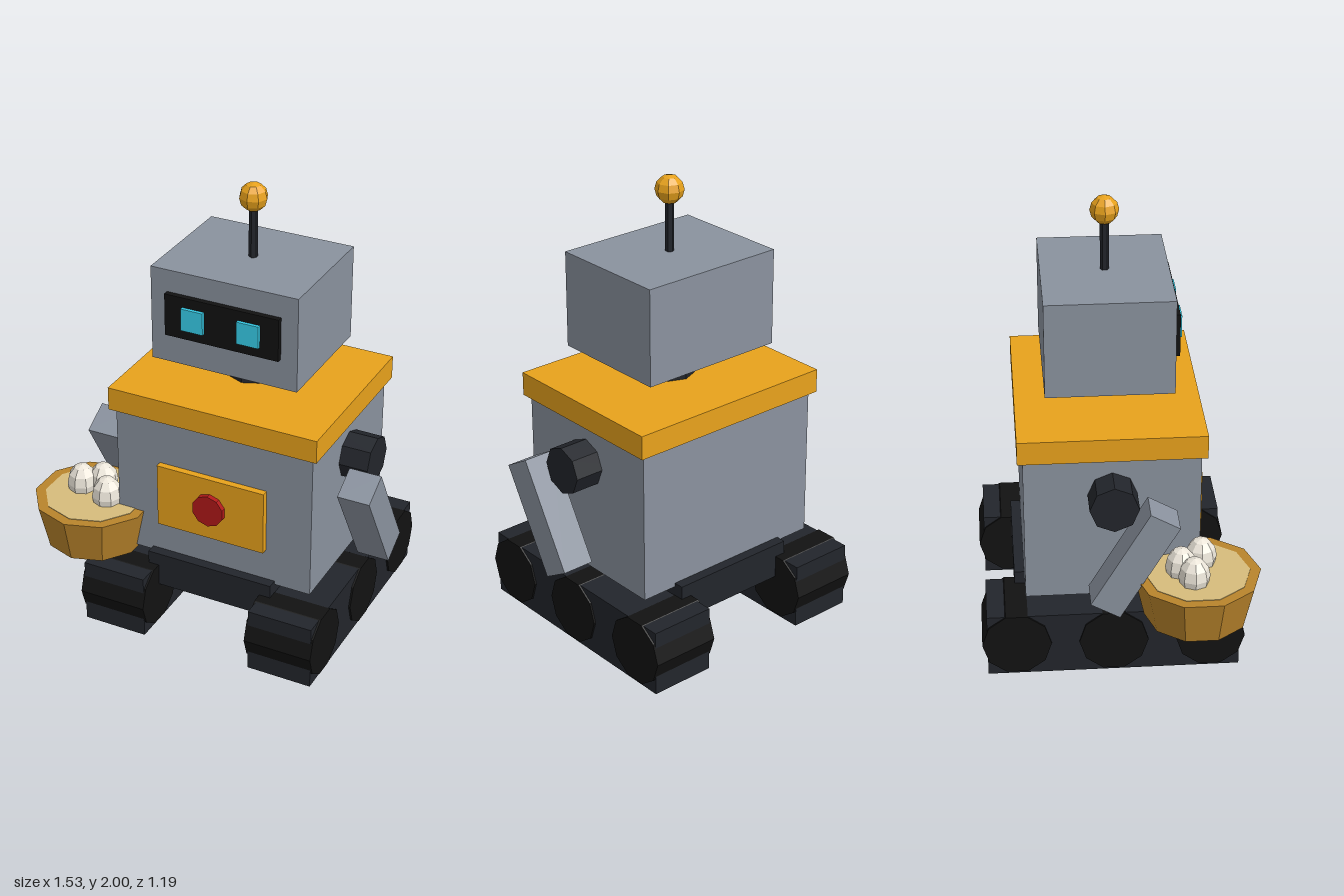
import * as THREE from 'three';

const CX = 0.09, CZ = -0.025; // robot's own centre line

const paint = (color) => new THREE.MeshStandardMaterial({ color, flatShading: true });
const steel = paint(0x8a929e), dark = paint(0x22252b), black = paint(0x121212);
const amber = paint(0xe8a21c), red = paint(0xb01818), cyan = paint(0x38d0ec);
const wicker = paint(0xb9842b), straw = paint(0xd6bc7c), shell = paint(0xece6da);

export function createModel() {
  const model = new THREE.Group();

  const add = (name, geometry, material, x, y, z, parent = model) => {
    const mesh = new THREE.Mesh(geometry, material);
    mesh.name = name;
    mesh.position.set(x, y, z);
    parent.add(mesh);
    return mesh;
  };
  const box = (name, material, w, h, d, x, y, z, parent) =>
    add(name, new THREE.BoxGeometry(w, h, d), material, x, y, z, parent);
  const cyl = (r, h, sides) => new THREE.CylinderGeometry(r, r, h, sides);

  // Torso
  box('chassis', dark, 0.59, 0.16, 0.84, CX, 0.277, CZ);
  box('torso', steel, 0.92, 0.68, 0.75, CX, 0.68, CZ);
  box('collar', amber, 0.97, 0.105, 0.796, CX, 1.067, CZ);
  box('chestPanel', amber, 0.505, 0.295, 0.04, CX, 0.653, 0.36);
  add('chestButton', cyl(0.074, 0.04, 10).rotateX(Math.PI / 2), red, CX, 0.655, 0.383);

  // Head
  add('neck', cyl(0.105, 0.16, 8), dark, CX, 1.18, CZ);
  box('head', steel, 0.67, 0.425, 0.545, CX, 1.457, CZ);
  box('visor', black, 0.52, 0.19, 0.04, CX, 1.475, 0.252);
  for (const s of [-1, 1]) box('eye', cyan, 0.1, 0.1, 0.03, CX + s * 0.127, 1.476, 0.272);
  add('antenna', cyl(0.019, 0.26, 6), dark, CX, 1.78, CZ);
  add('antennaBall', new THREE.SphereGeometry(0.062, 8, 6), amber, CX, 1.938, CZ);

  for (const s of [-1, 1]) {
    const side = s > 0 ? 'left' : 'right';

    // Arms
    add(side + 'Shoulder', cyl(0.105, 0.2, 8).rotateZ(Math.PI / 2), dark, CX + s * 0.49, 0.842, CZ);
    const arm = box(side + 'Arm', steel, 0.145, 0.5, 0.143, CX + s * 0.598, 0.61, 0.055);
    arm.rotation.x = Math.PI / 6;

    // Tracks with three wheels each
    const track = new THREE.Group();
    track.name = side + 'Track';
    track.position.set(CX + s * 0.4, 0, CZ);
    model.add(track);
    box('trackBelt', dark, 0.294, 0.295, 1.095, 0, 0.148, 0, track);
    for (const z of [-0.42, 0, 0.42]) {
      add('wheel', cyl(0.15, 0.31, 10).rotateZ(Math.PI / 2), black, 0, 0.155, z, track);
    }
  }

  // Basket of eggs
  const basket = new THREE.Group();
  basket.name = 'eggBasket';
  basket.position.set(-0.507, 0, 0.325);
  model.add(basket);
  add('basketBody', new THREE.CylinderGeometry(0.271, 0.225, 0.205, 10), wicker, 0, 0.423, 0, basket);
  add('straw', cyl(0.225, 0.02, 10), straw, 0, 0.518, 0, basket);
  for (const [x, z] of [[-0.078, -0.022], [0.002, -0.07], [0.072, 0.022]]) {
    const egg = add('egg', new THREE.SphereGeometry(0.068, 8, 6), shell, x, 0.558, z, basket);
    egg.scale.y = 1.3;
  }

  return model;
}
